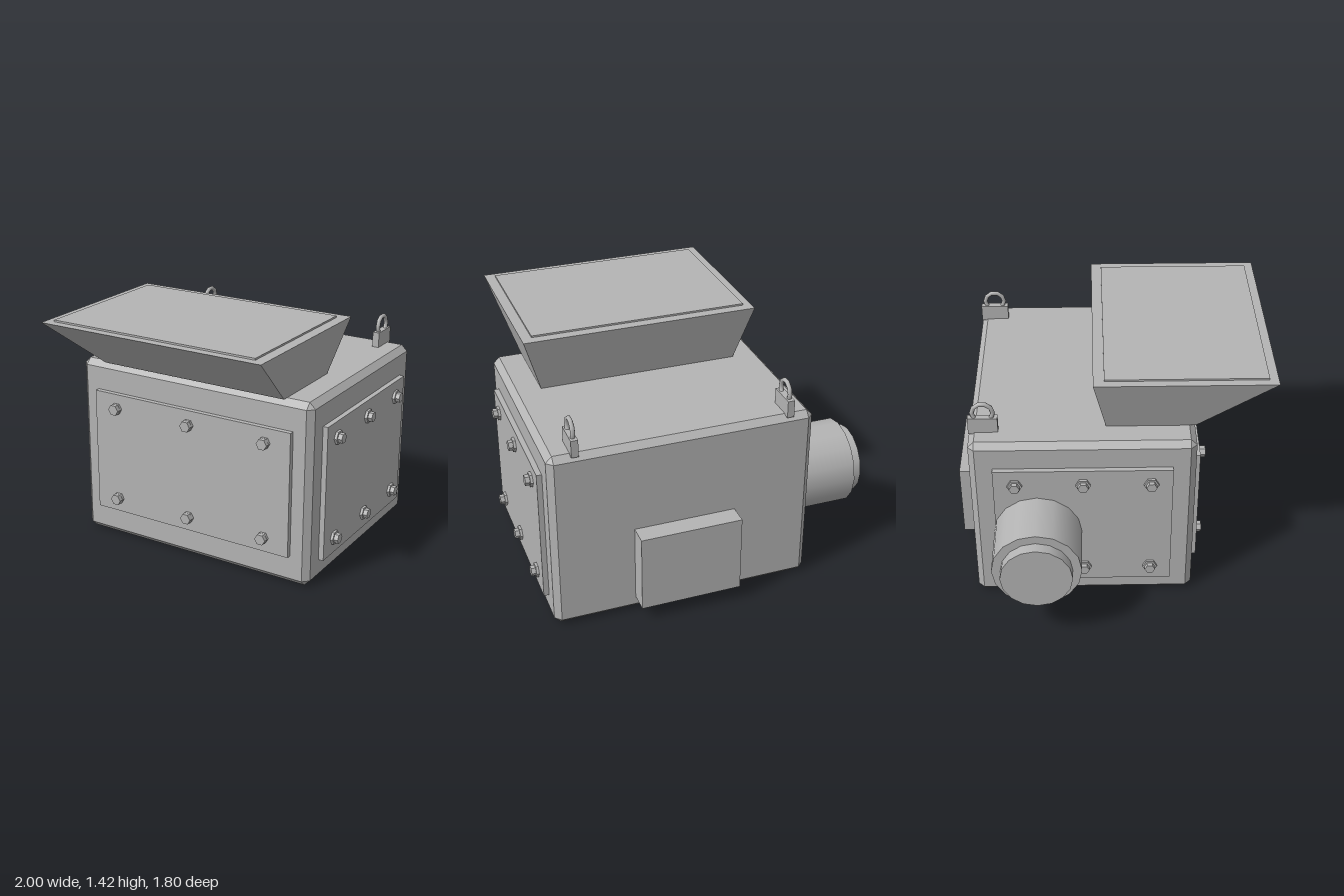
import * as THREE from 'three';
import { ConvexGeometry } from 'three/addons/geometries/ConvexGeometry.js';

const steel = new THREE.MeshStandardMaterial({ color: 0xb4b4b4 });
steel.name = 'grey steel';

export function createModel() {
  const model = new THREE.Group();
  model.name = 'industrialGrinder';

  const add = (name, geometry, parent = model) => {
    const mesh = new THREE.Mesh(geometry, steel);
    mesh.name = name;
    parent.add(mesh);
    return mesh;
  };

  // Box given by its limits on each axis
  const block = (name, x0, x1, y0, y1, z0, z1, parent) => {
    const g = new THREE.BoxGeometry(x1 - x0, y1 - y0, z1 - z0);
    g.translate((x0 + x1) / 2, (y0 + y1) / 2, (z0 + z1) / 2);
    return add(name, g, parent);
  };

  // Main housing with chamfered edges
  const half = [0.755, 0.54, 0.63], c = 0.035, corners = [];
  for (const sx of [-1, 1]) for (const sy of [-1, 1]) for (const sz of [-1, 1]) {
    for (let axis = 0; axis < 3; axis++) {
      const p = [sx, sy, sz].map((s, i) => s * (half[i] - (i === axis ? 0 : c)));
      corners.push(new THREE.Vector3(...p));
    }
  }
  add('housing', new ConvexGeometry(corners)).position.set(0.175, 0.54, -0.16);

  // Feed hopper: narrow at the housing, flaring out over the front
  const hopper = new THREE.BoxGeometry(1, 1, 1);
  const pos = hopper.attributes.position;
  for (let i = 0; i < pos.count; i++) {
    const top = pos.getY(i) > 0, right = pos.getX(i) < 0, back = pos.getZ(i) < 0;
    const x = 0.175 + (right ? -1 : 1) * (top ? 0.685 : 0.585);
    const z = top ? (back ? -0.10 : 0.90) : (back ? -0.03 : 0.47);
    pos.setXYZ(i, x, top ? 1.41 : 1.08, z);
  }
  hopper.computeVertexNormals();
  add('hopper', hopper);
  block('hopperLid', -0.46, 0.80, 1.40, 1.42, -0.04, 0.85);

  // Access panels
  block('frontPanel', -0.465, 0.82, 0.175, 0.91, 0.46, 0.50);
  block('rightPanel', -0.61, -0.57, 0.125, 0.92, -0.66, 0.34);
  block('leftPanel', 0.92, 0.96, 0.125, 0.92, -0.66, 0.34);

  // Hexagonal bolt pointing along +y, with flat-sided faces
  const hex = (radius, y0, y1) => {
    const g = new THREE.CylinderGeometry(radius, radius, y1 - y0, 6).toNonIndexed();
    g.translate(0, (y0 + y1) / 2, 0);
    g.computeVertexNormals();
    return g;
  };
  const bolt = (name, flange, head) => {
    const group = new THREE.Group();
    group.name = name;
    add('boltFlange', hex(flange, 0, 0.015), group);
    add('boltHead', hex(head, 0.015, 0.04), group);
    model.add(group);
    return group;
  };
  for (const y of [0.26, 0.825]) for (const x of [-0.315, 0.175, 0.665]) {
    const b = bolt('frontBolt', 0.034, 0.033);
    b.rotation.set(Math.PI / 2, Math.PI / 2, 0);
    b.position.set(x, y, 0.50);
  }
  for (const y of [0.222, 0.826]) for (const z of [0.22, -0.16, -0.54]) {
    for (const side of [-1, 1]) {
      const b = bolt('sideBolt', 0.042, 0.030);
      b.rotation.z = -side * Math.PI / 2;
      b.position.set(side < 0 ? -0.61 : 0.96, y, z);
    }
  }

  // Drive motor and its end cap
  const drum = (name, radius, x0, x1) => {
    const g = new THREE.CylinderGeometry(radius, radius, x1 - x0, 16);
    g.rotateZ(Math.PI / 2);
    add(name, g).position.set((x0 + x1) / 2, 0.485, -0.42);
  };
  drum('motor', 0.25, -0.935, -0.60);
  drum('motorCap', 0.20, -1.0, -0.93);

  // Rear control box
  block('rearBox', -0.12, 0.465, 0.085, 0.545, -0.905, -0.78);

  // Lifting lugs with rings
  for (const x of [-0.435, 0.78]) {
    const lug = new THREE.Group();
    lug.name = 'liftingLug';
    block('lugBase', -0.02, 0.02, 1.07, 1.17, -0.79, -0.625, lug);
    const ring = new THREE.TorusGeometry(0.058, 0.013, 8, 10);
    ring.rotateY(Math.PI / 2);
    add('lugRing', ring, lug).position.set(0, 1.197, -0.707);
    lug.position.x = x;
    model.add(lug);
  }

  return model;
}
